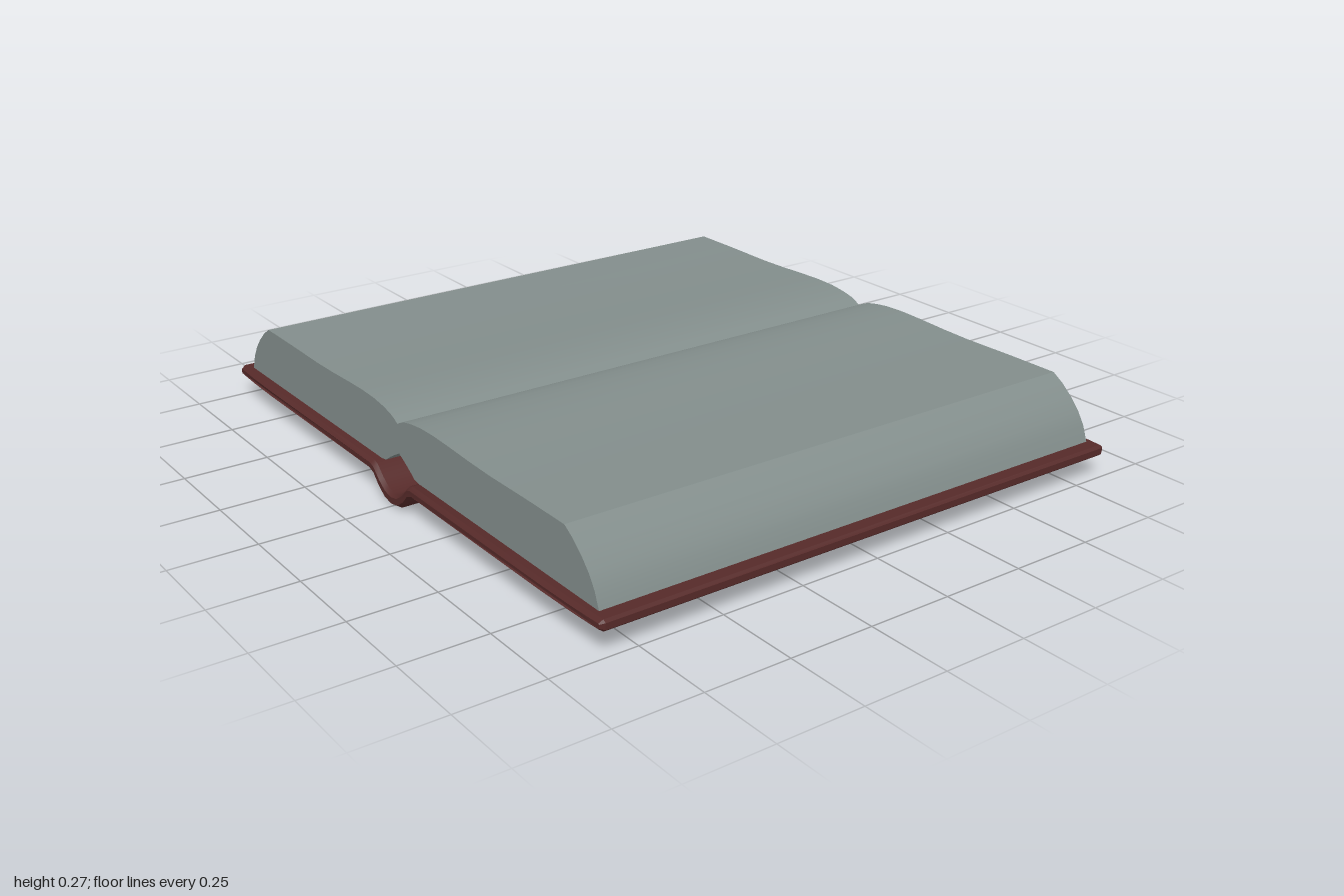
import * as THREE from 'three';
import { toCreasedNormals } from 'three/addons/utils/BufferGeometryUtils.js';

const coverMaterial = new THREE.MeshStandardMaterial({ color: 0x562a29 });
coverMaterial.name = 'dark red cover';
const pageMaterial = new THREE.MeshStandardMaterial({ color: 0x828d8b });
pageMaterial.name = 'grey paper';

// Mirrors a half profile (listed from x = 0 outwards) into a full left-to-right line
function mirrored(half) {
  const left = half.filter(([x]) => x > 0).reverse().map(([x, y]) => [-x, y]);
  return [...left, ...half];
}

// Closes an upper and a lower line into one outline and extrudes it, centred on z
function extrudeBetween(upper, lower, depth, bevel) {
  const outline = [...mirrored(lower), ...mirrored(upper).reverse()];
  const shape = new THREE.Shape(outline.map(([x, y]) => new THREE.Vector2(x, y)));
  const geometry = new THREE.ExtrudeGeometry(shape, {
    depth: depth - 2 * bevel,
    steps: 1,
    bevelEnabled: bevel > 0,
    bevelThickness: bevel,
    bevelSize: bevel * 0.7,
    bevelOffset: -bevel * 0.7,
    bevelSegments: 1,
  });
  geometry.translate(0, 0, -depth / 2 + bevel);
  return geometry;
}

export function createModel() {
  const book = new THREE.Group();
  book.name = 'openBook';

  // Cover: two flat boards joined by a spine that bows downwards
  const coverTop = [[0, 0.036], [0.03, 0.042], [0.06, 0.062], [0.09, 0.09], [0.11, 0.097],
    [0.75, 0.097], [0.88, 0.097], [0.95, 0.097], [0.992, 0.097], [1, 0.09]];
  const coverBottom = [[0, 0], [0.04, 0.008], [0.075, 0.032], [0.1, 0.058], [0.12, 0.065],
    [0.75, 0.065], [0.88, 0.065], [0.95, 0.065], [0.992, 0.065], [1, 0.072]];
  const coverGeometry = extrudeBetween(coverTop, coverBottom, 1.726, 0.012);

  // The board ends taper slightly towards the outer corners
  const p = coverGeometry.attributes.position;
  for (let i = 0; i < p.count; i++) {
    const t = Math.max(0, (Math.abs(p.getX(i)) - 0.75) / 0.25);
    p.setZ(i, p.getZ(i) * (1 - 0.01 * t * t));
  }
  const cover = new THREE.Mesh(toCreasedNormals(coverGeometry, 0.45), coverMaterial);
  cover.name = 'cover';
  book.add(cover);

  // Page block: wavy top with a centre gutter, rounded fore-edges, arched hollow at the spine
  const pageTop = [[0, 0.235], [0.015, 0.243], [0.04, 0.253], [0.08, 0.261], [0.13, 0.267],
    [0.2, 0.269], [0.28, 0.267], [0.38, 0.263], [0.48, 0.261], [0.65, 0.263], [0.815, 0.263],
    [0.85, 0.241], [0.885, 0.211], [0.915, 0.178], [0.938, 0.142], [0.955, 0.097]];
  const pageBottom = [[0, 0.148], [0.02, 0.138], [0.055, 0.118], [0.08, 0.101], [0.11, 0.096],
    [0.95, 0.096]];
  const pages = new THREE.Mesh(
    toCreasedNormals(extrudeBetween(pageTop, pageBottom, 1.66, 0), 0.45), pageMaterial);
  pages.name = 'pages';
  book.add(pages);

  return book;
}
